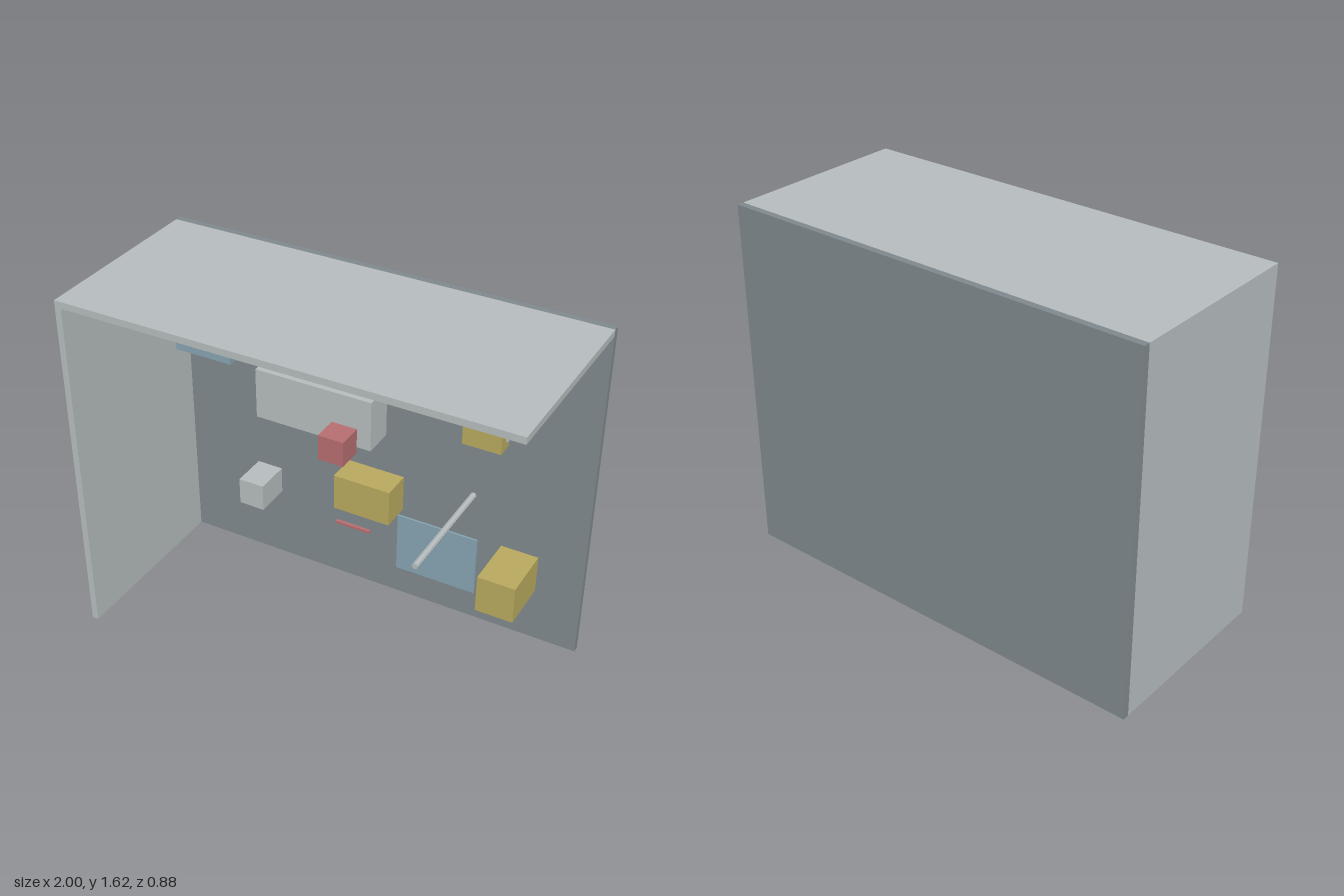
import * as THREE from 'three';

const material = (name, color) => new THREE.MeshStandardMaterial({ name, color });

export function createModel() {
  const group = new THREE.Group();
  group.name = 'openRoom';

  const grey = material('pale grey', 0xb6bcbe);
  const slate = material('slate grey', 0x7f898d);
  const blue = material('dusty blue', 0x86a4b2);
  const yellow = material('mustard yellow', 0xb8a95e);
  const red = material('muted red', 0xb66d70);

  // Box given by its extents along each axis
  const block = (name, mat, [x0, x1], [y0, y1], [z0, z1]) => {
    const mesh = new THREE.Mesh(new THREE.BoxGeometry(x1 - x0, y1 - y0, z1 - z0), mat);
    mesh.position.set((x0 + x1) / 2, (y0 + y1) / 2, (z0 + z1) / 2);
    mesh.name = name;
    group.add(mesh);
  };

  // Shell: back wall, one side wall and a ceiling
  const back = -0.41;
  block('backWall', slate, [-1, 1], [0, 1.62], [-0.44, back]);
  block('sideWall', grey, [-1, -0.97], [0, 1.59], [back, 0.44]);
  block('ceiling', grey, [-1, 1], [1.59, 1.62], [back, 0.44]);

  // Upper blocks
  block('upperBlueBlock', blue, [-0.77, -0.5], [1.23, 1.375], [back, -0.03]);
  block('upperGreyBlock', grey, [0.515, 0.7], [1.15, 1.315], [-0.395, -0.17]);
  block('upperYellowBlock', yellow, [0.52, 0.69], [1.11, 1.21], [-0.205, -0.13]);

  // Middle blocks
  block('longGreyBlock', grey, [-0.5, 0.065], [0.87, 1.11], [-0.365, -0.22]);
  block('redCube', red, [-0.1, 0.02], [0.87, 0.99], [-0.18, -0.06]);
  block('middleYellowBlock', yellow, [-0.14, 0.135], [0.47, 0.645], [back, -0.27]);

  // Lower blocks, panel and strip
  block('smallGreyBlock', grey, [-0.62, -0.495], [0.35, 0.48], [back, -0.24]);
  block('lowerYellowBlock', yellow, [0.615, 0.79], [0.265, 0.445], [back, -0.16]);
  block('bluePanel', blue, [0.115, 0.505], [0.14, 0.435], [back, -0.401]);
  block('redStrip', red, [-0.2, -0.025], [0.282, 0.295], [back, -0.395]);

  // Thin rod standing out from the back wall
  const rodMaterial = grey;
  const rodGeometry = new THREE.CylinderGeometry(0.014, 0.014, 0.565, 8).toNonIndexed();
  rodGeometry.computeVertexNormals();
  const rod = new THREE.Mesh(rodGeometry, rodMaterial);
  rod.rotation.x = Math.PI / 2;
  rod.position.set(0.47, 0.665, back + 0.2825);
  rod.name = 'rod';
  group.add(rod);

  return group;
}
